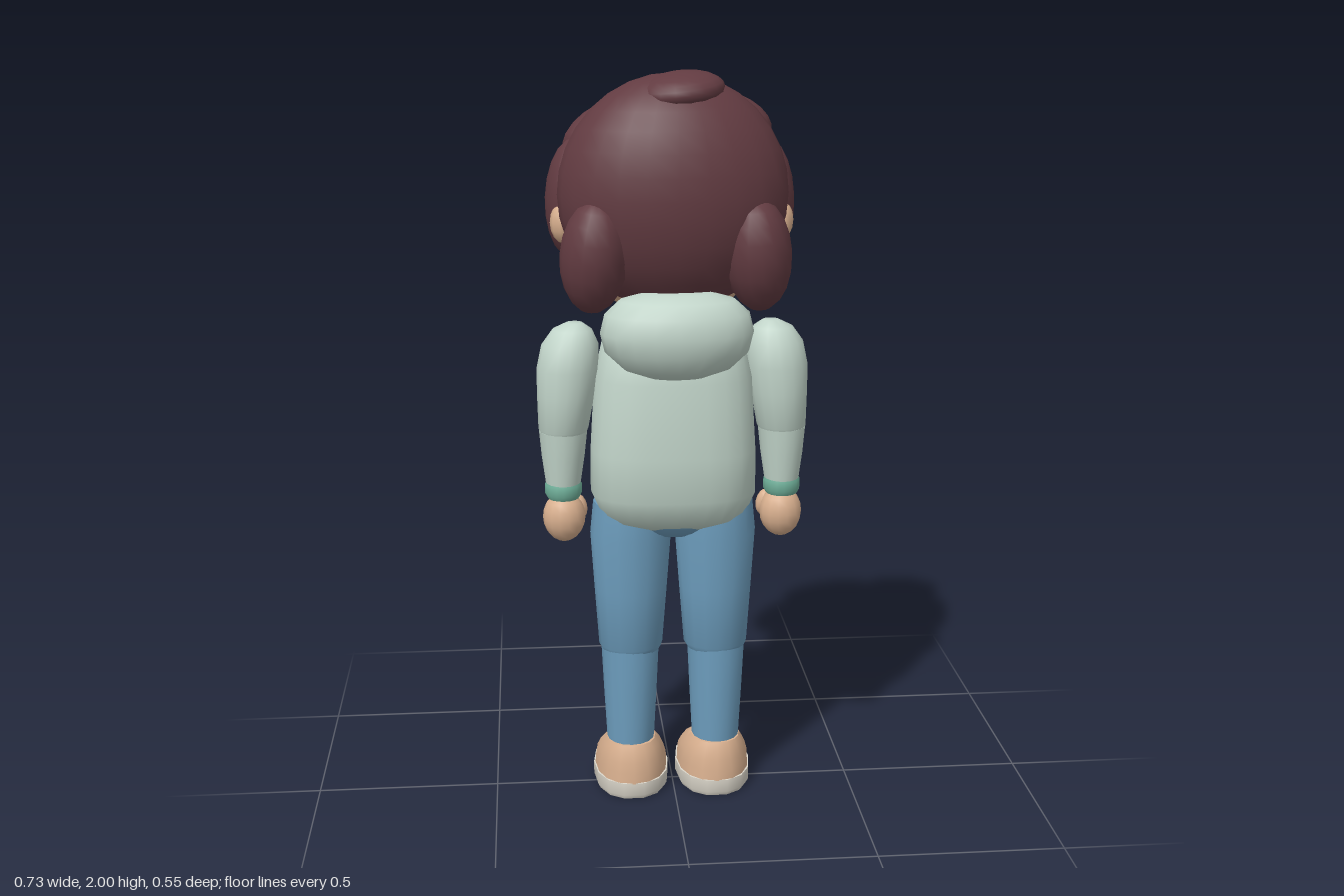
import * as THREE from 'three';
import { toCreasedNormals } from 'three/addons/utils/BufferGeometryUtils.js';

const paint = (name, color) => {
  const m = new THREE.MeshStandardMaterial({ color });
  m.name = name;
  return m;
};

export function createModel() {
  const model = new THREE.Group();
  model.name = 'standingChild';
  const skin = paint('skin', 0xd9b08f);
  const hair = paint('hair', 0x623b41);
  const knit = paint('hoodie', 0xc2d5ca);
  const teal = paint('tealTrim', 0x70b09a);
  const denim = paint('denim', 0x6d9dbd);
  const cream = paint('cream', 0xdcd7cb);
  const dark = paint('darkFeatures', 0x4c2831);

  const add = (name, geo, mat) => {
    const mesh = new THREE.Mesh(geo, mat);
    mesh.name = name;
    model.add(mesh);
    return mesh;
  };

  // Ellipsoid with centre, radii and optional rotation
  const ball = (name, mat, pos, radii, rot = [0, 0, 0], w = 18, h = 12) => {
    const mesh = add(name, new THREE.SphereGeometry(1, w, h), mat);
    mesh.position.set(...pos);
    mesh.scale.set(...radii);
    mesh.rotation.set(...rot);
    return mesh;
  };

  // Closed body through rounded sections [y, centreX, centreZ, radiusX, radiusZ], listed upward
  const loft = (name, mat, rings, power = 2, n = 16) => {
    const pos = [], idx = [];
    const bulge = (v) => Math.sign(v) * Math.abs(v) ** (2 / power);
    for (const [y, cx, cz, rx, rz] of rings)
      for (let j = 0; j < n; j++) {
        const a = (j / n) * Math.PI * 2;
        pos.push(cx + rx * bulge(Math.cos(a)), y, cz + rz * bulge(Math.sin(a)));
      }
    const last = (rings.length - 1) * n, bottom = rings.length * n;
    for (const r of [rings[0], rings[rings.length - 1]]) pos.push(r[1], r[0], r[2]);
    for (let j = 0; j < n; j++) {
      const k = (j + 1) % n;
      for (let i = 0; i < last; i += n) idx.push(i + j, i + n + j, i + k, i + k, i + n + j, i + n + k);
      idx.push(bottom, j, k, bottom + 1, last + k, last + j);
    }
    const geo = new THREE.BufferGeometry();
    geo.setAttribute('position', new THREE.Float32BufferAttribute(pos, 3));
    geo.setIndex(idx);
    geo.computeVertexNormals();
    return add(name, toCreasedNormals(geo, 0.95), mat);
  };

  // Round bar between two points
  const bar = (name, mat, a, b, r) => {
    const p = new THREE.Vector3(...a), d = new THREE.Vector3(...b).sub(p);
    const mesh = add(name, new THREE.CylinderGeometry(r, r, d.length(), 8), mat);
    mesh.position.copy(p).addScaledVector(d, 0.5);
    mesh.quaternion.setFromUnitVectors(new THREE.Vector3(0, 1, 0), d.normalize());
    return mesh;
  };

  // Head, facing -z
  ball('head', skin, [0, 1.63, -0.01], [0.285, 0.28, 0.21], [0, 0, 0], 24, 16);
  loft('neck', skin, [[1.3, 0, 0.01, 0.09, 0.08], [1.42, 0, 0.01, 0.08, 0.07]]);
  const faceZ = (x, y) => -0.01 - 0.21 * Math.sqrt(1 - (x / 0.285) ** 2 - ((y - 1.63) / 0.28) ** 2);
  ball('nose', skin, [0, 1.595, -0.242], [0.032, 0.028, 0.035], [0, 0, 0], 10, 8);
  const smile = [-0.055, -0.03, 0, 0.03, 0.055].map((x) => {
    const y = 1.52 + 8 * x * x;
    return new THREE.Vector3(x, y, faceZ(x, y) - 0.004);
  });
  add('mouth', new THREE.TubeGeometry(new THREE.CatmullRomCurve3(smile), 12, 0.007, 6), dark);

  // Hair
  ball('hairBack', hair, [0, 1.682, 0.04], [0.302, 0.308, 0.195], [0, 0, 0], 24, 16);
  ball('hairBun', hair, [0.015, 1.945, 0.07], [0.115, 0.05, 0.1], [0.1, 0, 0.12]);
  ball('fringeLeft', hair, [0.138, 1.848, -0.16], [0.147, 0.085, 0.1], [0, -0.12, -0.2]);
  ball('fringeRight', hair, [-0.125, 1.83, -0.16], [0.165, 0.085, 0.095], [0, 0.12, 0.35]);
  bar('hairClip', cream, [0.272, 1.79, -0.178], [0.225, 1.74, -0.215], 0.01);

  // Hoodie body and hood
  loft('hoodieBody', knit, [
    [0.79, 0, 0.02, 0.165, 0.105], [0.81, 0, 0.022, 0.195, 0.13], [0.88, 0, 0.027, 0.224, 0.154],
    [1.0, 0, 0.027, 0.223, 0.158], [1.2, 0, 0.022, 0.211, 0.155], [1.29, 0, 0.02, 0.19, 0.14],
    [1.34, 0, 0.02, 0.155, 0.112], [1.365, 0, 0.02, 0.09, 0.075],
  ], 2.7, 24);
  loft('hood', knit, [
    [1.222, 0, 0.155, 0.075, 0.045], [1.245, 0, 0.155, 0.14, 0.085], [1.29, 0, 0.155, 0.188, 0.114],
    [1.34, 0, 0.155, 0.2, 0.122], [1.39, 0, 0.155, 0.188, 0.114], [1.425, 0, 0.155, 0.15, 0.09],
    [1.442, 0, 0.155, 0.09, 0.05],
  ], 2.1, 20);

  // Front pocket
  const pocket = new THREE.Shape([
    [-0.13, 0.945], [0.13, 0.945], [0.15, 0.98], [0.11, 1.06], [-0.11, 1.06], [-0.15, 0.98],
  ].map((p) => new THREE.Vector2(...p)));
  add('pocket', new THREE.ExtrudeGeometry(pocket, { depth: 0.035, bevelEnabled: false }), teal).position.z = -0.142;
  bar('necklineTrim', teal, [-0.045, 1.235, -0.14], [0.045, 1.235, -0.14], 0.012);

  // Jeans seat
  ball('jeansSeat', denim, [0, 0.84, 0.025], [0.19, 0.095, 0.125]);

  for (const s of [1, -1]) {
    const side = s > 0 ? 'left' : 'right';
    // Sections given for the left are mirrored for the right
    const limb = (name, mat, rings, power, n) =>
      loft(side + name, mat, rings.map(([y, cx, ...r]) => [y, s * cx, ...r]), power, n);
    const blob = (name, mat, [x, y, z], radii, [a, b, c] = [0, 0, 0], w = 16, h = 10) =>
      ball(side + name, mat, [s * x, y, z], radii, [a, s * b, s * c], w, h);

    // Face and hair details
    blob('Eye', dark, [0.1, 1.66, faceZ(0.1, 1.66) - 0.006], [0.027, 0.038, 0.016], [0, -0.28, 0], 12, 8);
    blob('EyeGlint', cream, [0.095, 1.673, faceZ(0.095, 1.673) - 0.02], [0.007, 0.009, 0.005], [0, -0.28, 0], 8, 6);
    blob('Cheek', skin, [0.165, 1.57, faceZ(0.165, 1.57) - 0.003], [0.03, 0.02, 0.014], [0, -0.5, 0], 12, 8);
    blob('Ear', skin, [0.285, 1.605, 0.005], [0.036, 0.055, 0.035], [0, 0, 0], 10, 8);
    blob('SideLock', hair, [0.258, 1.66, -0.06], [0.074, 0.158, 0.1], [0, 0, 0.05]);
    blob('BackLock', hair, [0.21, 1.535, 0.13], [0.09, 0.15, 0.098], [0.12, 0, 0.08]);

    // Hoodie neckline and drawstring
    bar(side + 'NecklineTrim', teal, [s * 0.045, 1.235, -0.14], [s * 0.135, 1.325, -0.09], 0.013);
    bar(side + 'Drawstring', cream, [s * 0.065, 1.245, -0.142], [s * 0.065, 1.065, -0.145], 0.007);
    blob('DrawstringEnd', cream, [0.065, 1.055, -0.146], [0.01, 0.016, 0.01], [0, 0, 0], 8, 6);

    // Arm and hand
    limb('UpperArm', knit, [
      [1.04, 0.296, 0.025, 0.06, 0.066], [1.055, 0.295, 0.025, 0.067, 0.074], [1.15, 0.287, 0.025, 0.077, 0.081],
      [1.22, 0.281, 0.025, 0.083, 0.085], [1.285, 0.274, 0.025, 0.076, 0.076], [1.325, 0.268, 0.025, 0.053, 0.052],
      [1.343, 0.262, 0.025, 0.022, 0.022],
    ]);
    limb('Forearm', knit, [
      [0.895, 0.298, 0.026, 0.046, 0.052], [0.98, 0.297, 0.025, 0.058, 0.064], [1.05, 0.296, 0.025, 0.065, 0.071],
    ]);
    limb('Cuff', teal, [
      [0.862, 0.298, 0.027, 0.043, 0.047], [0.875, 0.298, 0.027, 0.05, 0.054],
      [0.9, 0.298, 0.027, 0.05, 0.054], [0.913, 0.298, 0.027, 0.043, 0.048],
    ]);
    blob('Hand', skin, [0.297, 0.806, 0.023], [0.058, 0.07, 0.053], [0, 0, 0], 14, 10);
    blob('Thumb', skin, [0.254, 0.822, -0.012], [0.021, 0.036, 0.021], [0, 0, -0.2], 10, 8);

    // Leg
    limb('Thigh', denim, [
      [0.42, 0.118, 0.028, 0.08, 0.074], [0.435, 0.118, 0.028, 0.088, 0.081], [0.6, 0.117, 0.026, 0.1, 0.096],
      [0.76, 0.116, 0.025, 0.111, 0.109], [0.85, 0.113, 0.025, 0.105, 0.107],
    ]);
    limb('Shin', denim, [
      [0.13, 0.12, 0.028, 0.065, 0.071], [0.3, 0.12, 0.028, 0.074, 0.076], [0.43, 0.12, 0.028, 0.08, 0.078],
    ]);

    // Shoe
    limb('Sole', cream, [
      [0, 0.117, -0.025, 0.1, 0.15], [0.012, 0.117, -0.025, 0.106, 0.156], [0.048, 0.117, -0.025, 0.106, 0.156],
    ], 2.3, 14);
    limb('Shoe', skin, [
      [0.046, 0.117, -0.023, 0.102, 0.152], [0.075, 0.117, -0.02, 0.1, 0.146], [0.105, 0.117, -0.002, 0.092, 0.124],
      [0.135, 0.118, 0.022, 0.079, 0.092], [0.153, 0.119, 0.03, 0.068, 0.076],
    ], 2.2, 16);
  }
  return model;
}
